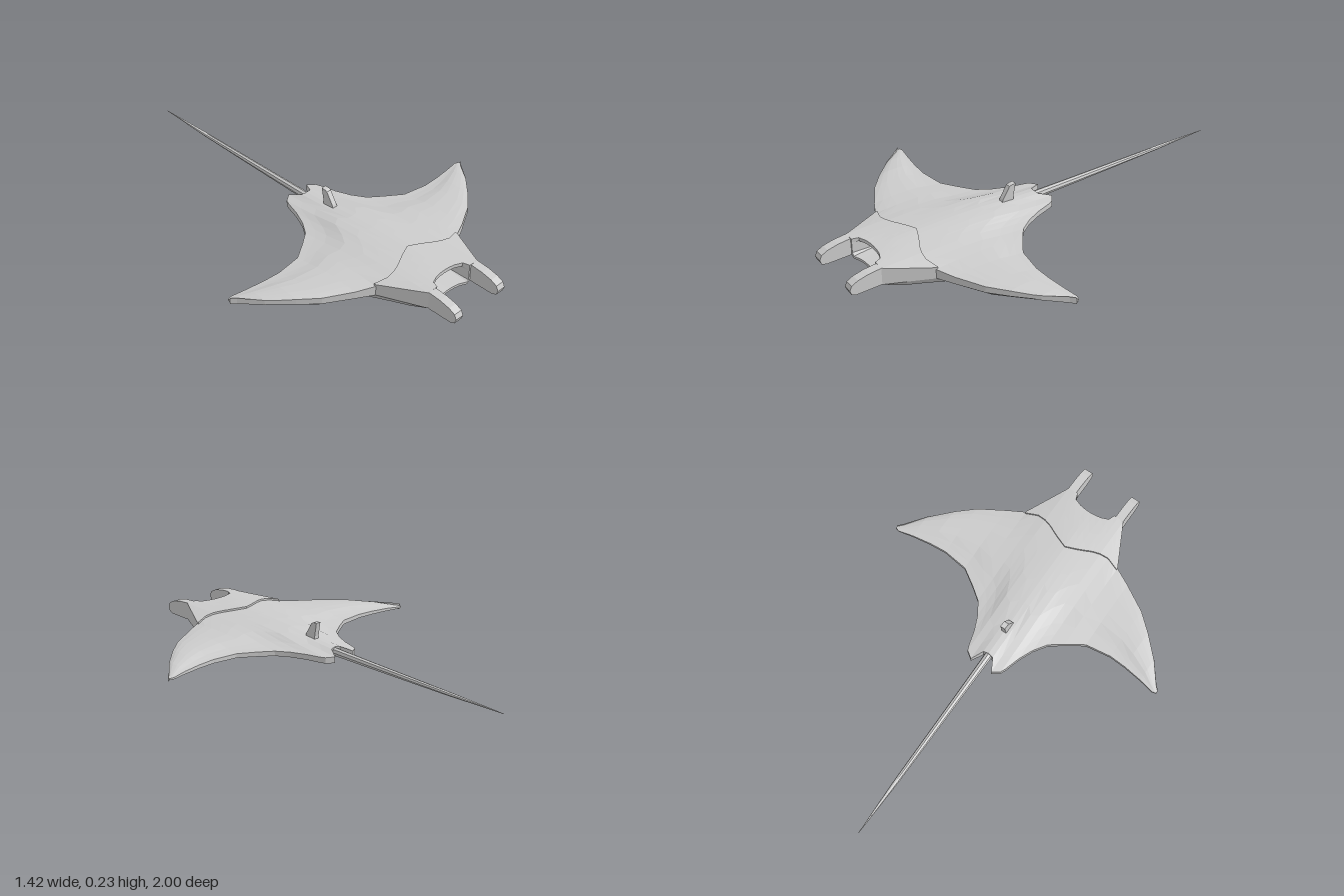
import * as THREE from 'three';

const material = new THREE.MeshStandardMaterial({ color: 0xcccccc, flatShading: true });

// Skin between closed loops of equal length, with both ends capped.
// Loops run counter-clockwise seen from the end the sweep heads to.
function loft(name, rings) {
  const pos = [];
  const tri = (a, b, c) => {
    const n = new THREE.Vector3().subVectors(b, a).cross(new THREE.Vector3().subVectors(c, a));
    if (n.length() > 1e-9) for (const p of [a, b, c]) pos.push(p.x, p.y, p.z);
  };
  const n = rings[0].length;
  for (let i = 0; i < rings.length - 1; i++) {
    for (let j = 0; j < n; j++) {
      const k = (j + 1) % n;
      tri(rings[i][j], rings[i][k], rings[i + 1][k]);
      tri(rings[i][j], rings[i + 1][k], rings[i + 1][j]);
    }
  }
  const cap = (ring, flip) => {
    const c = ring.reduce((s, p) => s.add(p), new THREE.Vector3()).divideScalar(n);
    ring.forEach((p, j) => {
      const q = ring[(j + 1) % n];
      flip ? tri(c, q, p) : tri(c, p, q);
    });
  };
  cap(rings[0], true);
  cap(rings[rings.length - 1], false);
  const g = new THREE.BufferGeometry();
  g.setAttribute('position', new THREE.Float32BufferAttribute(pos, 3));
  g.computeVertexNormals();
  const mesh = new THREE.Mesh(g, material);
  mesh.name = name;
  return mesh;
}

// Side profile given as [z, y], extruded across x from x0 to x1
function sideSlab(name, points, x0, x1) {
  const shape = new THREE.Shape(points.map(([z, y]) => new THREE.Vector2(z, y)));
  const g = new THREE.ExtrudeGeometry(shape, { depth: x1 - x0, bevelEnabled: false });
  g.rotateY(-Math.PI / 2).translate(x1, 0, 0);
  const mesh = new THREE.Mesh(g, material);
  mesh.name = name;
  return mesh;
}

// Half-span stations: x, front z, back z, front top, crest, back top, front underside, keel
const STATIONS = [
  [0, 0.80, -0.02, 0.168, 0.175, 0.145, 0.08, 0],
  [0.025, 0.801, -0.025, 0.168, 0.174, 0.142, 0.08, 0.009],
  [0.055, 0.806, -0.08, 0.168, 0.172, 0.127, 0.08, 0.017],
  [0.09, 0.82, -0.055, 0.167, 0.169, 0.125, 0.08, 0.026],
  [0.1, 0.85, -0.03, 0.166, 0.168, 0.124, 0.085, 0.028],
  [0.12, 0.85, 0.04, 0.165, 0.166, 0.123, 0.09, 0.034],
  [0.15, 0.85, 0.11, 0.162, 0.163, 0.122, 0.09, 0.041],
  [0.19, 0.77, 0.17, 0.154, 0.156, 0.121, 0.093, 0.049],
  [0.25, 0.65, 0.215, 0.143, 0.148, 0.12, 0.097, 0.056],
  [0.33, 0.61, 0.268, 0.135, 0.142, 0.118, 0.1, 0.064],
  [0.45, 0.54, 0.285, 0.13, 0.138, 0.116, 0.1, 0.073],
  [0.53, 0.47, 0.28, 0.127, 0.135, 0.114, 0.1, 0.083],
  [0.62, 0.38, 0.267, 0.117, 0.124, 0.111, 0.1, 0.089],
  [0.69, 0.288, 0.252, 0.107, 0.109, 0.106, 0.098, 0.094],
  [0.71, 0.268, 0.257, 0.105, 0.105, 0.105, 0.096, 0.095],
];
const mirrored = (list) => [...list.slice(1).reverse().map(([x, ...r]) => [-x, ...r]), ...list];

// Chordwise samples (0 front, 1 back), crest weight and belly weight at each
const T = [0, 0.13, 0.25, 0.38, 0.5, 0.65, 0.8, 0.9, 1];
const CREST = [0, 0.7, 1, 1, 0.97, 0.8, 0.35, 0.15, 0];
const BELLY = [0, 0.92, 1, 0.96, 0.86, 0.6, 0.12, 0.02, 0];
const BACK_UNDER = 0.098;

function sample(table, t) {
  let i = 0;
  while (i < T.length - 2 && t > T[i + 1]) i++;
  return THREE.MathUtils.lerp(table[i], table[i + 1], (t - T[i]) / (T[i + 1] - T[i]));
}
function topY([, , , front, crest, back], t) {
  return THREE.MathUtils.lerp(t < 0.38 ? front : back, crest, sample(CREST, t));
}

// One slice of the body; slices inside the mouth are hollowed at the front
function bodyRing(s) {
  const [x, zf, zb, front, , , under, keel] = s;
  const mouth = Math.abs(x) < 0.095;
  const lip = mouth ? 0.03 : 0;
  const P = (z, y) => new THREE.Vector3(x, y, z);
  const top = T.map((t, i) => P(THREE.MathUtils.lerp(zf, zb, t), topY(s, t))).reverse();
  const depth = mouth ? 0.12 : 0;
  const cavity = [
    P(zf, front - 0.008),
    P(zf - depth, mouth ? 0.14 : front - 0.02),
    P(zf - depth, mouth ? 0.105 : under + 0.02),
    P(zf + lip, under + 0.012),
  ];
  const bottom = T.map((t, i) => {
    const base = THREE.MathUtils.lerp(under, BACK_UNDER, t);
    return P(THREE.MathUtils.lerp(zf, zb, t) + (i === 0 ? lip : 0),
      THREE.MathUtils.lerp(base, keel, BELLY[i]));
  });
  return [...top, ...cavity, ...bottom];
}

// Raised plate over the head, ending in a wavy seam
const SEAM = [0.59, 0.6, 0.613, 0.63, 0.636, 0.645, 0.655, 0.66, 0.64];
function plateRing([...s]) {
  const seam = s.pop();
  const [x, zf, zb] = s;
  const steps = [0, 0.25, 0.5, 0.75, 1];
  const line = (dy) => steps.map((k) => {
    const z = THREE.MathUtils.lerp(seam, zf, k);
    return new THREE.Vector3(x, topY(s, (zf - z) / (zf - zb)) + dy, z);
  });
  return [...line(0.009), ...line(-0.004).reverse()];
}

export function createModel() {
  const model = new THREE.Group();
  model.name = 'ray';

  model.add(loft('body', mirrored(STATIONS).map(bodyRing)));
  const headStations = STATIONS.slice(0, SEAM.length).map((s, i) => [...s, SEAM[i]]);
  model.add(loft('headPlate', mirrored(headStations).map(plateRing)));

  // Pair of forward head fins
  const horn = [[0.78, 0.1], [0.86, 0.09], [0.97, 0.09], [0.992, 0.098], [1, 0.12],
    [0.99, 0.142], [0.96, 0.157], [0.91, 0.168], [0.85, 0.173], [0.78, 0.16]];
  model.add(sideSlab('leftHeadFin', horn, 0.108, 0.15));
  model.add(sideSlab('rightHeadFin', horn, -0.15, -0.108));

  // Small upright fin near the tail root
  const fin = [[0.165, 0.14], [0.155, 0.168], [0.12, 0.224], [0.108, 0.229],
    [0.088, 0.23], [0.1, 0.165], [0.1, 0.14]];
  model.add(sideSlab('dorsalFin', fin.reverse(), -0.012, 0.012));

  // Whip tail: z, half width, half height, centre y
  const tail = [[-1, 0.001, 0.001, 0.122], [-0.87, 0.006, 0.004, 0.122], [-0.72, 0.011, 0.008, 0.121],
    [-0.5, 0.013, 0.012, 0.121], [-0.25, 0.015, 0.016, 0.121], [0, 0.018, 0.02, 0.122], [0.06, 0.018, 0.02, 0.122]];
  model.add(loft('tail', tail.map(([z, w, h, y]) => Array.from({ length: 8 }, (_, i) => {
    const a = (i / 8) * Math.PI * 2;
    return new THREE.Vector3(Math.cos(a) * w, y + Math.sin(a) * h, z);
  }))));
  return model;
}
